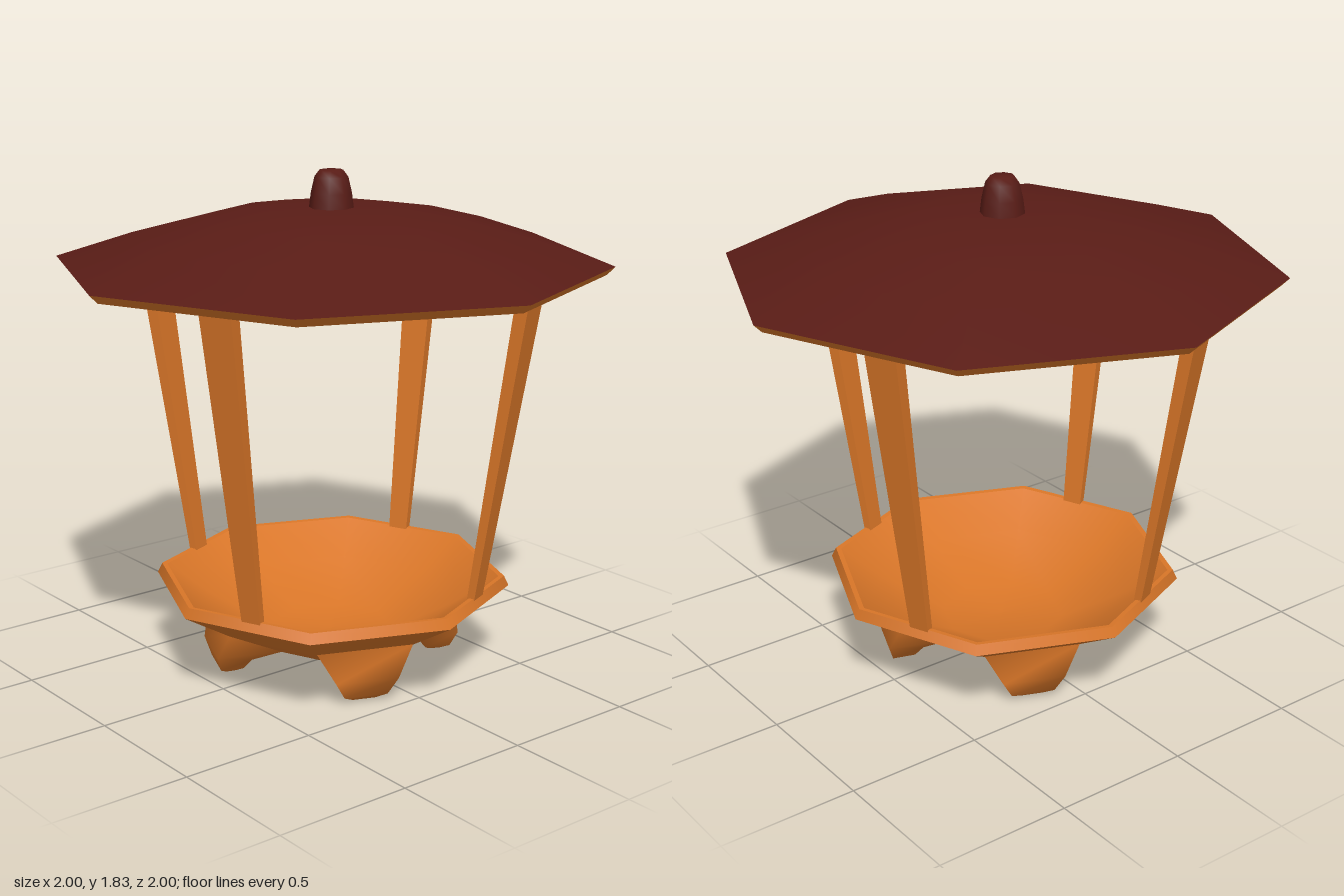
import * as THREE from 'three';

const wood = new THREE.MeshStandardMaterial({ color: 0xd97628, side: THREE.DoubleSide });
const tile = new THREE.MeshStandardMaterial({ color: 0x591c16, side: THREE.DoubleSide });

// Eight-sided turned surface; profile runs anticlockwise (underside outward, then top inward).
function turned(name, points, material) {
  const profile = points.map(([r, y]) => new THREE.Vector2(r, y));
  const mesh = new THREE.Mesh(new THREE.LatheGeometry(profile, 8), material);
  mesh.name = name;
  return mesh;
}

// Tapered flat post leaning outward as it rises.
function postGeometry() {
  const geo = new THREE.BoxGeometry(1, 1, 1);
  const p = geo.attributes.position;
  const mix = THREE.MathUtils.lerp;
  for (let i = 0; i < p.count; i++) {
    const t = p.getY(i) + 0.5;
    const x = p.getX(i) * mix(0.074, 0.127, t) + mix(0.01, 0.006, t);
    const z = p.getZ(i) * mix(0.028, 0.052, t) + mix(0.577, 0.776, t);
    p.setXYZ(i, x, mix(0.315, 1.545, t), z);
  }
  geo.computeVertexNormals();
  return geo;
}

// Foot drawn down from one side of the base: four-cornered sections, narrowing to a blunt tip.
function footGeometry() {
  // outer z, outer half width, outer y, inner z, inner half width, inner y
  const sections = [
    [0.43, 0.178, 0.195, 0.21, 0.088, 0.075],
    [0.462, 0.115, 0.085, 0.325, 0.075, 0.05],
    [0.443, 0.08, 0.022, 0.355, 0.06, 0.014],
    [0.415, 0.042, 0, 0.378, 0.038, 0]
  ];
  const points = [], index = [];
  for (const [zo, wo, yo, zi, wi, yi] of sections) {
    points.push(-wo, yo, zo, wo, yo, zo, wi, yi, zi, -wi, yi, zi);
  }
  for (let s = 0; s < 3; s++) {
    for (let k = 0; k < 4; k++) {
      const a = s * 4 + k, b = s * 4 + (k + 1) % 4;
      index.push(a, a + 4, b, b, a + 4, b + 4);
    }
  }
  index.push(12, 15, 14, 12, 14, 13);
  const geo = new THREE.BufferGeometry();
  geo.setAttribute('position', new THREE.Float32BufferAttribute(points, 3));
  geo.setIndex(index);
  geo.computeVertexNormals();
  return geo;
}

export function createModel() {
  const model = new THREE.Group();
  model.name = 'pavilion';

  // Roof
  const roof = new THREE.Group();
  roof.name = 'roof';
  roof.add(
    turned('roofTop', [[1, 1.505], [0.72, 1.596], [0.47, 1.66], [0.26, 1.695], [0.08, 1.698]], tile),
    turned('finial', [[0.08, 1.695], [0.073, 1.75], [0.06, 1.806], [0.042, 1.83], [0, 1.832]], tile),
    turned('roofEdge', [[0.97, 1.475], [1, 1.505]], wood),
    turned('roofUnderside', [[0, 1.655], [0.26, 1.65], [0.47, 1.615], [0.72, 1.55], [0.97, 1.475]], wood)
  );
  model.add(roof);

  // Dished base
  const base = new THREE.Group();
  base.name = 'base';
  base.add(
    turned('baseUnderside', [[0, 0.068], [0.23, 0.072], [0.47, 0.195], [0.657, 0.308]], wood),
    turned('baseEdge', [[0.657, 0.308], [0.64, 0.344]], wood),
    turned('baseLip', [[0.64, 0.344], [0.62, 0.342]], wood),
    turned('baseDish', [[0.62, 0.342], [0.46, 0.235], [0.23, 0.118], [0, 0.112]], wood)
  );
  model.add(base);

  // Four posts and four feet, offset to the middles of alternate sides
  const post = postGeometry(), foot = footGeometry();
  for (let i = 0; i < 4; i++) {
    const turn = i * Math.PI / 2;
    const postMesh = new THREE.Mesh(post, wood);
    postMesh.name = 'post' + (i + 1);
    postMesh.rotation.y = turn + Math.PI / 8;
    const footMesh = new THREE.Mesh(foot, wood);
    footMesh.name = 'foot' + (i + 1);
    footMesh.rotation.y = turn - Math.PI / 8;
    model.add(postMesh, footMesh);
  }
  return model;
}
